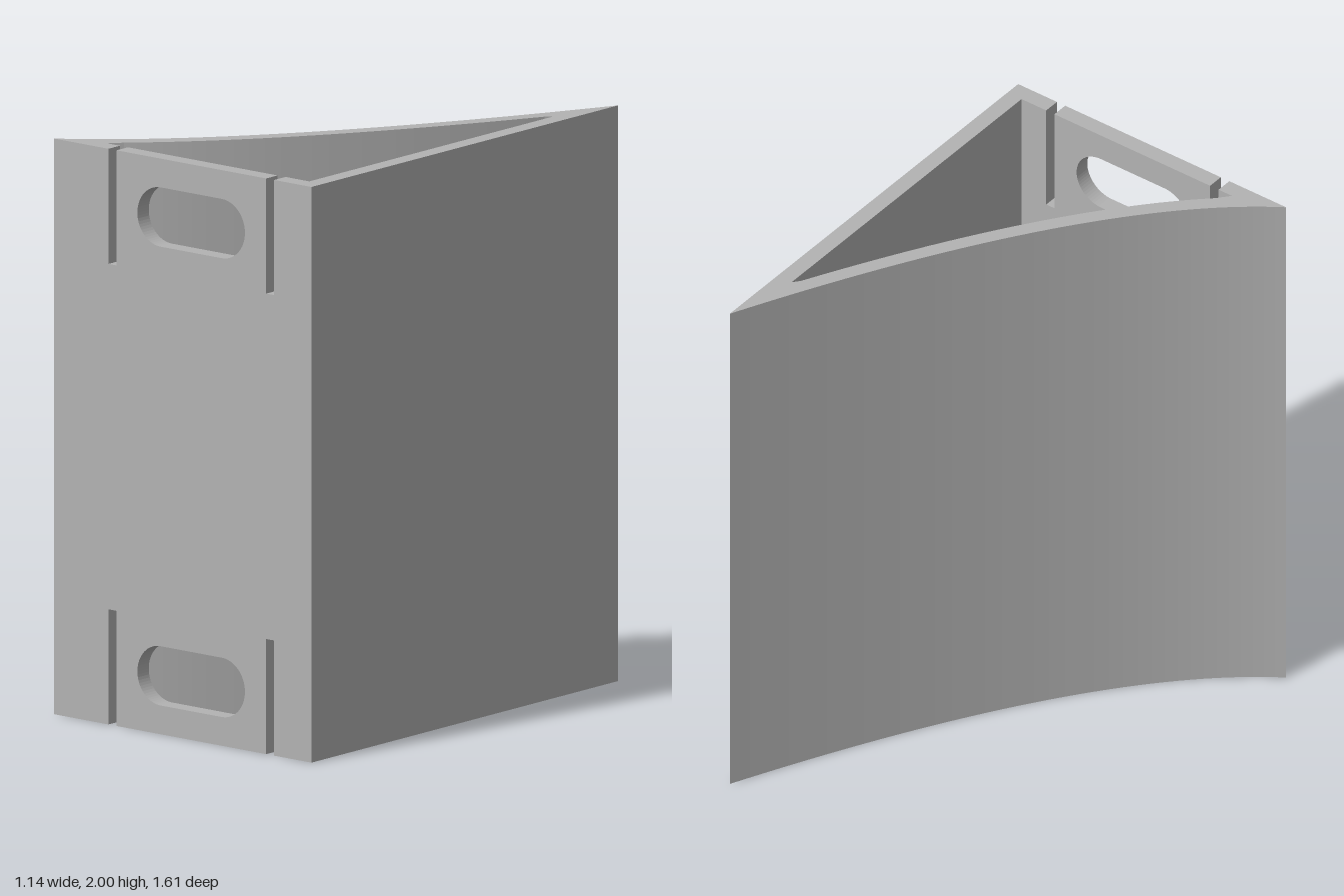
import * as THREE from 'three';

const HEIGHT = 2;
const FRONT = 0.807, PLATE_BACK = 0.747;   // front plate z range
const INNER_LEFT = -0.385, INNER_RIGHT = 0.51;

export function createModel() {
  const group = new THREE.Group();
  group.name = 'wedgeBracket';
  const grey = new THREE.MeshStandardMaterial({ color: 0xb3b3b3 });
  grey.name = 'grey';

  // Footprint drawn with y = -z, then laid flat
  const curve = new THREE.QuadraticBezierCurve(
    new THREE.Vector2(-0.57, -FRONT),
    new THREE.Vector2(-0.012, -0.447),
    new THREE.Vector2(0.57, 0.807)
  );
  const outer = [], inner = [];
  const steps = 36;
  for (let i = 0; i <= steps; i++) {
    const p = curve.getPoint(i / steps), t = curve.getTangent(i / steps);
    outer.push(p);
    const q = new THREE.Vector2(p.x + t.y * 0.054, p.y - t.x * 0.054);
    if (q.x > INNER_LEFT + 0.01 && q.x < INNER_RIGHT - 0.01) inner.push(q);
  }

  // Curved back wall joined to the straight side wall
  const wallShape = new THREE.Shape([
    ...outer,
    new THREE.Vector2(0.57, -FRONT),
    new THREE.Vector2(INNER_RIGHT, -FRONT),
    new THREE.Vector2(INNER_RIGHT, 0.54),
    ...inner.reverse(),
    new THREE.Vector2(INNER_LEFT, -PLATE_BACK),
    new THREE.Vector2(INNER_LEFT, -FRONT)
  ]);
  const wallGeo = new THREE.ExtrudeGeometry(wallShape, { depth: HEIGHT, bevelEnabled: false });
  wallGeo.rotateX(-Math.PI / 2);
  const walls = new THREE.Mesh(wallGeo, grey);
  walls.name = 'curvedAndSideWalls';
  group.add(walls);

  // Front plate outline with four open-ended slots
  const slots = [[-0.328, -0.292], [0.37, 0.405]];
  const slotDepth = 0.4;
  const plate = new THREE.Shape();
  plate.moveTo(INNER_LEFT, 0);
  for (const [a, b] of slots) {
    plate.lineTo(a, 0);
    plate.lineTo(a, slotDepth);
    plate.lineTo(b, slotDepth);
    plate.lineTo(b, 0);
  }
  plate.lineTo(INNER_RIGHT, 0);
  plate.lineTo(INNER_RIGHT, HEIGHT);
  for (const [a, b] of [...slots].reverse()) {
    plate.lineTo(b, HEIGHT);
    plate.lineTo(b, HEIGHT - slotDepth);
    plate.lineTo(a, HEIGHT - slotDepth);
    plate.lineTo(a, HEIGHT);
  }
  plate.lineTo(INNER_LEFT, HEIGHT);
  plate.closePath();

  // Rounded finger holes near both ends
  const r = 0.103, cx = 0.038, half = 0.135;
  for (const y of [0.203, HEIGHT - 0.203]) {
    const hole = new THREE.Path();
    hole.absarc(cx + half, y, r, -Math.PI / 2, Math.PI / 2, false);
    hole.absarc(cx - half, y, r, Math.PI / 2, Math.PI * 1.5, false);
    hole.closePath();
    plate.holes.push(hole);
  }
  const plateGeo = new THREE.ExtrudeGeometry(plate, {
    depth: FRONT - PLATE_BACK, bevelEnabled: false, curveSegments: 16
  });
  plateGeo.translate(0, 0, PLATE_BACK);
  const front = new THREE.Mesh(plateGeo, grey);
  front.name = 'slottedFrontPlate';
  group.add(front);

  return group;
}
